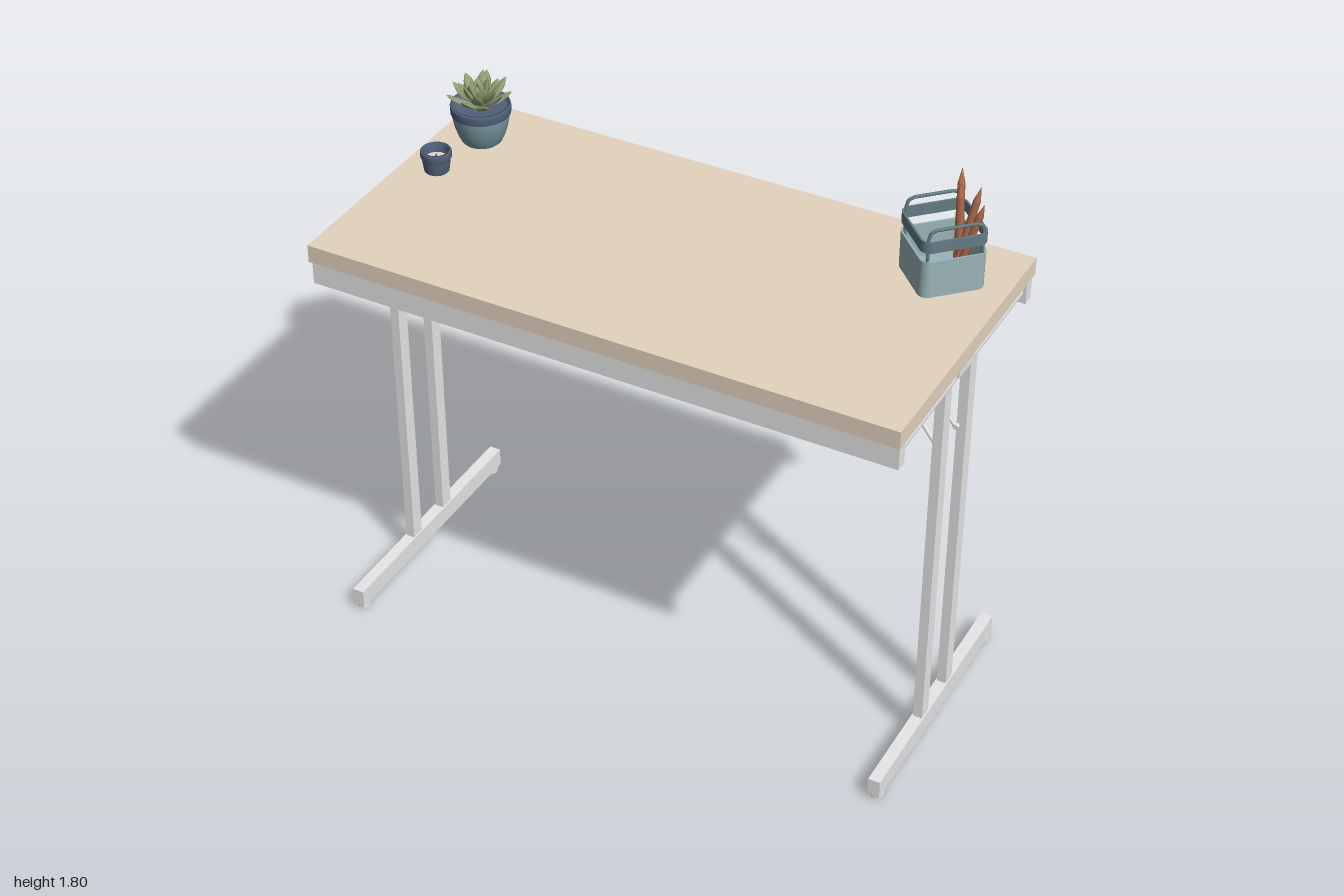
import * as THREE from 'three';

const mat = (name, color, side = THREE.FrontSide) => {
  const m = new THREE.MeshStandardMaterial({ color, side });
  m.name = name;
  return m;
};

export function createModel() {
  const wood = mat('wood', 0xe4d4be);
  const metal = mat('metal', 0xe8e8e8);
  const underside = mat('underside', 0xdcdcdc);
  const navy = mat('navy glaze', 0x52637c);
  const potTeal = mat('pot teal', 0x78969f);
  const holderTeal = mat('holder teal', 0x9ab5b8);
  const bandTeal = mat('band teal', 0x657c84);
  const green = mat('leaf green', 0x909f75, THREE.DoubleSide);
  const brown = mat('pencil brown', 0xae6a4a);
  const cream = mat('wax cream', 0xf0dccd);

  const root = new THREE.Group();
  root.name = 'deskWithAccessories';

  const group = (name, parent = root) => {
    const g = new THREE.Group();
    g.name = name;
    parent.add(g);
    return g;
  };
  const add = (parent, name, geo, material, x = 0, y = 0, z = 0) => {
    const m = new THREE.Mesh(geo, material);
    m.name = name;
    m.position.set(x, y, z);
    parent.add(m);
    return m;
  };
  const box = (parent, name, material, w, h, d, x, y, z) =>
    add(parent, name, new THREE.BoxGeometry(w, h, d), material, x, y, z);
  // Cylinder between two points, optionally tapered
  const rod = (parent, name, material, a, b, r, sides = 12, rEnd = r) => {
    const p = new THREE.Vector3(...a), q = new THREE.Vector3(...b);
    const dir = q.clone().sub(p);
    const m = add(parent, name, new THREE.CylinderGeometry(rEnd, r, dir.length(), sides), material);
    m.position.copy(p).add(q).multiplyScalar(0.5);
    m.quaternion.setFromUnitVectors(new THREE.Vector3(0, 1, 0), dir.normalize());
    return m;
  };
  const lathe = (pts, seg = 36) =>
    new THREE.LatheGeometry(pts.map(([x, y]) => new THREE.Vector2(x, y)), seg);

  // Desk, turned very slightly
  const desk = group('desk');
  desk.rotation.y = 0.025;
  box(desk, 'tabletop', wood, 1.975, 0.06, 0.985, 0, 1.45, 0);
  box(desk, 'undersidePanel', underside, 1.95, 0.004, 0.96, 0, 1.419, 0);
  for (const s of [1, -1])
    box(desk, 'longRail', metal, 1.965, 0.08, 0.038, 0, 1.378, s * 0.463);

  // Folding leg sets at both ends
  for (const s of [1, -1]) {
    const legs = group(s > 0 ? 'leftLegSet' : 'rightLegSet', desk);
    rod(legs, 'crossTube', metal, [s * 0.949, 1.376, -0.445], [s * 0.949, 1.376, 0.445], 0.023, 20);
    box(legs, 'tubeBracket', metal, 0.06, 0.04, 0.11, s * 0.949, 1.4, 0);
    box(legs, 'footBar', metal, 0.04, 0.065, 0.885, s * 0.949, 0.0475, 0);
    box(legs, 'slidePlate', metal, 0.18, 0.012, 0.03, s * 0.665, 1.411, 0);
    rod(legs, 'slideTube', metal, [s * 0.58, 1.392, 0], [s * 0.74, 1.392, 0], 0.015);
    rod(legs, 'bracePivot', metal, [s * 0.714, 1.385, -0.055], [s * 0.714, 1.385, 0.055], 0.011);
    for (const t of [1, -1]) {
      box(legs, 'leg', metal, 0.031, 1.29, 0.048, s * 0.949, 0.72, t * 0.093);
      rod(legs, 'brace', metal, [s * 0.936, 1.108, t * 0.063], [s * 0.714, 1.385, t * 0.048], 0.007, 8);
      rod(legs, 'bracePin', metal, [s * 0.936, 1.112, t * 0.055], [s * 0.936, 1.112, t * 0.08], 0.009, 10);
      add(legs, 'footPad', new THREE.CylinderGeometry(0.022, 0.022, 0.016, 18), metal, s * 0.949, 0.008, t * 0.413);
    }
  }

  // Succulent in a rounded two-tone pot
  const plant = group('succulent');
  plant.position.set(-0.847, 1.48, -0.263);
  add(plant, 'potBody', lathe([[0, 0], [0.06, 0], [0.066, 0.006], [0.077, 0.03], [0.086, 0.058], [0.091, 0.085], [0.092, 0.107]]), potTeal);
  add(plant, 'potRim', lathe([[0.092, 0.103], [0.097, 0.105], [0.098, 0.13], [0.096, 0.136], [0.088, 0.136], [0.086, 0.115], [0, 0.115]]), navy);

  // Leaf: pointed lens, flattened and curled toward its tip
  const leafGeo = lathe([[0, 0], [0.3, 0.08], [0.75, 0.35], [1, 0.6], [0.75, 0.8], [0.3, 0.94], [0, 1]], 8);
  leafGeo.scale(0.021, 0.115, 0.008);
  const lp = leafGeo.attributes.position;
  for (let i = 0; i < lp.count; i++) {
    const t = lp.getY(i) / 0.115;
    lp.setZ(i, lp.getZ(i) - 0.018 * t * t + 8 * lp.getX(i) ** 2);
  }
  leafGeo.computeVertexNormals();
  // rings: count, tilt, length scale, base height
  [[9, 1.15, 1.06, 0.122], [8, 0.85, 0.96, 0.124], [6, 0.55, 0.82, 0.126], [4, 0.2, 0.66, 0.128]].forEach(([n, tilt, len, y], ring) => {
    for (let i = 0; i < n; i++) {
      const leaf = add(plant, 'leaf', leafGeo, green, 0, y, 0);
      leaf.rotation.order = 'YXZ';
      leaf.rotation.set(tilt + 0.1 * Math.sin(i * 2.4 + ring), (i / n) * Math.PI * 2 + ring * 0.4, 0);
      leaf.scale.set(1, len * (1 + 0.07 * Math.sin(i * 1.7)), 1);
    }
  });

  // Candle set deep in a small cup
  const candle = group('candle');
  candle.position.set(-0.87, 1.48, -0.036);
  add(candle, 'cup', lathe([[0, 0], [0.036, 0], [0.04, 0.004], [0.045, 0.04], [0.046, 0.052], [0.05, 0.054], [0.05, 0.073], [0.048, 0.076], [0.039, 0.076], [0.036, 0.03]]), navy);
  add(candle, 'wax', new THREE.CylinderGeometry(0.037, 0.036, 0.02, 30), cream, 0, 0.035, 0);
  rod(candle, 'wick', navy, [0, 0.044, 0], [0.001, 0.06, 0], 0.002, 6);

  // Rounded square outline for the pencil holder
  const outline = (s, r, Type = THREE.Shape) => {
    const h = s / 2, p = new Type();
    p.moveTo(-h + r, -h);
    p.lineTo(h - r, -h);
    p.absarc(h - r, -h + r, r, -Math.PI / 2, 0);
    p.lineTo(h, h - r);
    p.absarc(h - r, h - r, r, 0, Math.PI / 2);
    p.lineTo(-h + r, h);
    p.absarc(-h + r, h - r, r, Math.PI / 2, Math.PI);
    p.lineTo(-h, -h + r);
    p.absarc(-h + r, -h + r, r, Math.PI, Math.PI * 1.5);
    return p;
  };
  const slab = (size, r, height, wall = 0) => {
    const shape = outline(size, r);
    if (wall) shape.holes.push(outline(size - wall * 2, r - wall, THREE.Path));
    return new THREE.ExtrudeGeometry(shape, { depth: height, bevelEnabled: false, curveSegments: 8 }).rotateX(-Math.PI / 2);
  };

  // Pencil holder
  const holder = group('pencilHolder');
  holder.position.set(0.77, 1.48, -0.275);
  holder.rotation.y = Math.PI / 4 + 0.02;
  add(holder, 'holderWall', slab(0.209, 0.03, 0.125, 0.006), holderTeal, 0, 0.012, 0);
  add(holder, 'holderFloor', slab(0.2, 0.028, 0.008), holderTeal, 0, 0.013, 0);
  add(holder, 'upperBand', slab(0.209, 0.03, 0.038, 0.006), bandTeal, 0, 0.168, 0);
  for (const s of [1, -1]) {
    // wire hoop up one face and over
    const pts = [[-0.086, 0.012], [-0.086, 0.213], [-0.079, 0.233], [-0.062, 0.24], [0.062, 0.24], [0.079, 0.233], [0.086, 0.213], [0.086, 0.012]];
    const path = new THREE.CurvePath();
    const v = pts.map(([x, y]) => new THREE.Vector3(x, y, s * 0.094));
    for (let i = 1; i < v.length; i++) path.add(new THREE.LineCurve3(v[i - 1], v[i]));
    add(holder, 'wireHoop', new THREE.TubeGeometry(path, 80, 0.0055, 8), bandTeal);
    for (const t of [1, -1])
      add(holder, 'holderFoot', new THREE.CylinderGeometry(0.01, 0.01, 0.014, 12), bandTeal, s * 0.075, 0.007, t * 0.075);
  }

  // Pencils: base x, z then tip x, y, z
  const pencils = group('pencils');
  [
    [0.805, -0.305, 0.765, 1.80, -0.392],
    [0.818, -0.295, 0.788, 1.785, -0.335],
    [0.81, -0.265, 0.858, 1.80, -0.322],
    [0.82, -0.255, 0.888, 1.77, -0.283],
  ].forEach(([bx, bz, tx, ty, tz]) => {
    const a = new THREE.Vector3(bx, 1.505, bz), tip = new THREE.Vector3(tx, ty, tz);
    const neck = a.clone().lerp(tip, 0.85);
    rod(pencils, 'pencilShaft', brown, a.toArray(), neck.toArray(), 0.012, 6);
    rod(pencils, 'pencilTip', brown, neck.toArray(), tip.toArray(), 0.012, 6, 0.001);
  });

  return root;
}
